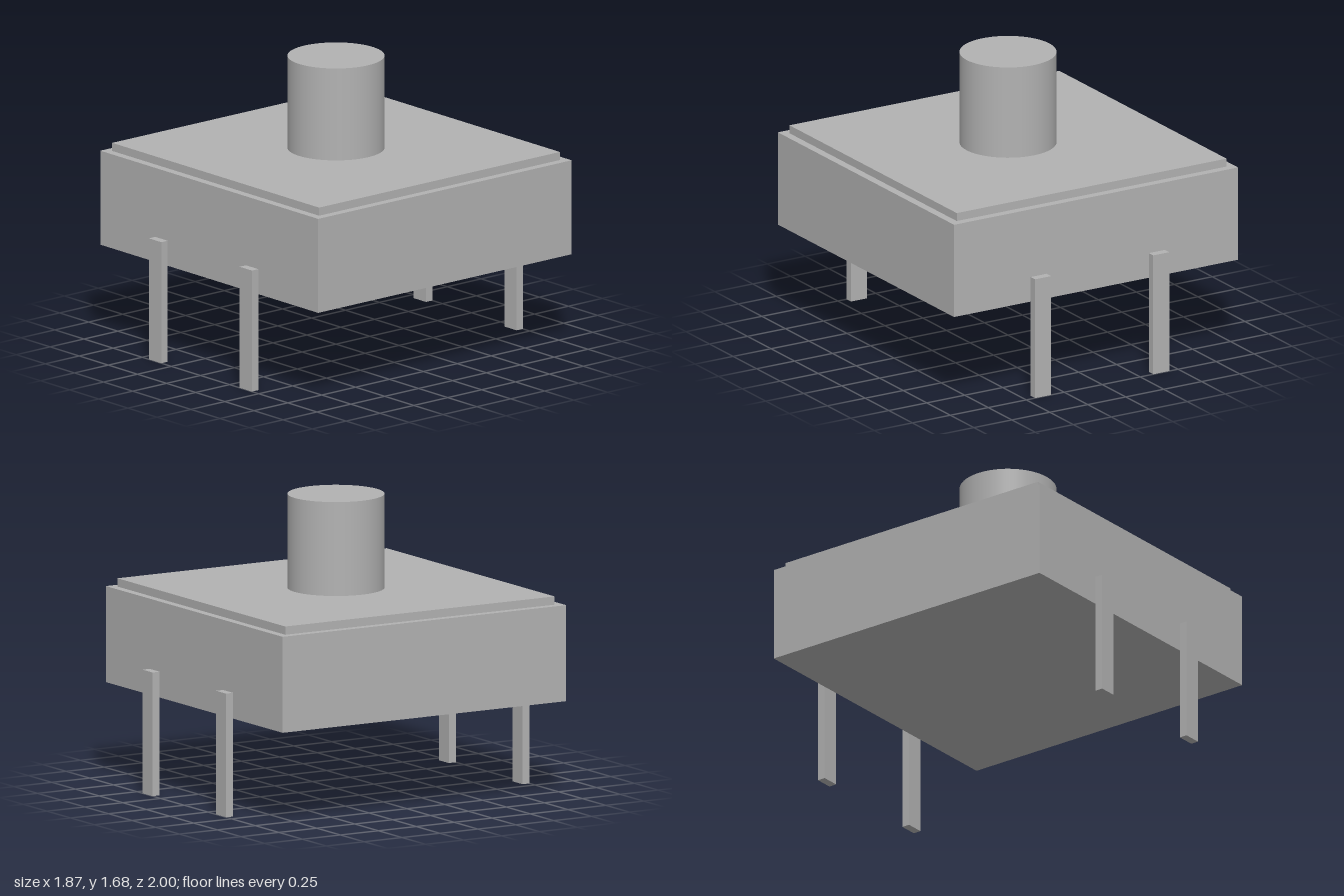
import * as THREE from 'three';

export function createModel() {
  const model = new THREE.Group();
  model.name = 'pushButtonSwitch';
  const grey = new THREE.MeshStandardMaterial({ color: 0xb2b2b2 });
  grey.name = 'grey';

  const add = (name, geometry, x, y, z) => {
    const mesh = new THREE.Mesh(geometry, grey);
    mesh.name = name;
    mesh.position.set(x, y, z);
    model.add(mesh);
  };

  // Box spanning the heights y0 to y1
  const addBox = (name, width, depth, y0, y1, x = 0, z = 0) =>
    add(name, new THREE.BoxGeometry(width, y1 - y0, depth), x, (y0 + y1) / 2, z);

  // Housing and the thin cover plate on top
  addBox('housing', 1.87, 1.87, 0.55, 1.096);
  addBox('coverPlate', 1.776, 1.776, 1.096, 1.143);

  // Round plunger
  const plungerHeight = 1.677 - 1.143;
  add('plunger', new THREE.CylinderGeometry(0.272, 0.272, plungerHeight, 64), 0, 1.143 + plungerHeight / 2, 0);

  // Four flat pins, standing just clear of the front and back walls
  for (const [side, sx] of [['Left', 1], ['Right', -1]]) {
    for (const [end, sz] of [['front', 1], ['back', -1]]) {
      addBox(`${end}${side}Pin`, 0.106, 0.047, 0, 0.703, sx * 0.389, sz * 0.9765);
    }
  }

  return model;
}
